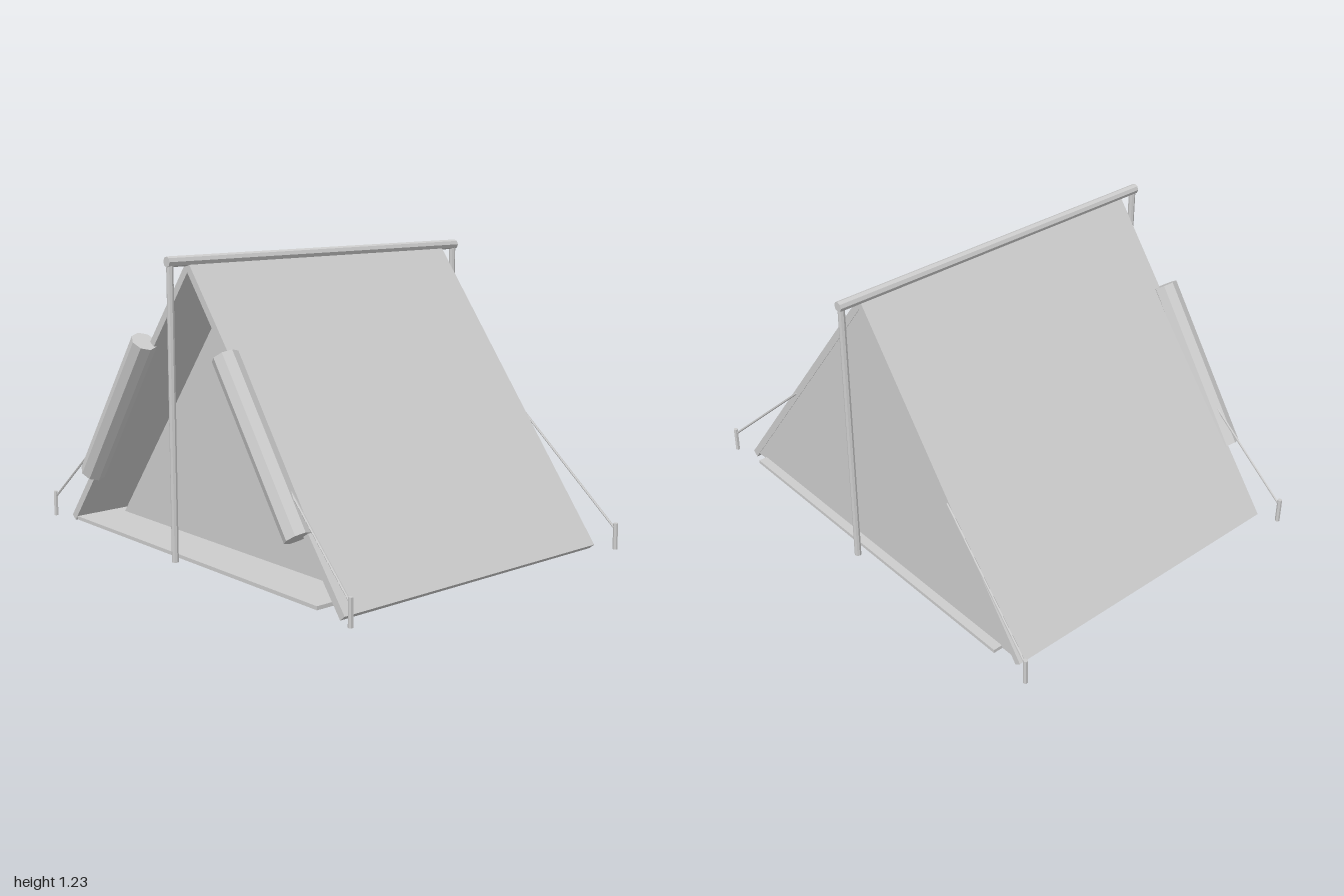
import * as THREE from 'three';

const canvas = new THREE.MeshStandardMaterial({ color: 0xcccccc, flatShading: true });
canvas.name = 'plain grey';

function add(group, name, geometry) {
  const mesh = new THREE.Mesh(geometry, canvas);
  mesh.name = name;
  group.add(mesh);
  return mesh;
}

// Faceted rod between two points
function rod(group, name, from, to, radius, sides) {
  const a = new THREE.Vector3(...from);
  const b = new THREE.Vector3(...to);
  const dir = b.clone().sub(a);
  const mesh = add(group, name, new THREE.CylinderGeometry(radius, radius, dir.length(), sides));
  mesh.position.copy(a).add(b).multiplyScalar(0.5);
  mesh.quaternion.setFromUnitVectors(new THREE.Vector3(0, 1, 0), dir.normalize());
  return mesh;
}

// Flat outline in x and y, extruded from z0 to z1
function slab(group, name, points, z0, z1) {
  const shape = new THREE.Shape(points.map(([x, y]) => new THREE.Vector2(x, y)));
  const geometry = new THREE.ExtrudeGeometry(shape, { depth: z1 - z0, bevelEnabled: false });
  geometry.translate(0, 0, z0);
  return add(group, name, geometry);
}

export function createModel() {
  const tent = new THREE.Group();
  tent.name = 'tent';

  // Ground sheet
  add(tent, 'groundSheet', new THREE.BoxGeometry(1.62, 0.015, 1.455)).position.y = 0.0425;

  // Ridge pole and the two uprights
  rod(tent, 'ridgePole', [0, 1.218, -0.785], [0, 1.218, 0.785], 0.021, 8);
  for (const [name, z] of [['frontPole', 0.77], ['backPole', -0.77]]) {
    rod(tent, name, [0, 0.035, z], [0, 1.205, z], 0.014, 8);
  }

  // Closed back wall and recessed inner door
  slab(tent, 'backWall', [[-0.875, 0.04], [0.875, 0.04], [0, 1.19]], -0.688, -0.678);
  slab(tent, 'innerDoor', [[-0.75, 0.05], [0.75, 0.05], [0, 1.04]], 0.51, 0.52);

  for (const s of [1, -1]) {
    const side = s > 0 ? 'left' : 'right';

    // Sloping roof
    slab(tent, side + 'Roof',
      [[0, 1.222], [s * 0.915, 0.03], [s * 0.891, 0.01], [0, 1.173]], -0.69, 0.69);

    // Rolled door flap along the front edge
    rod(tent, side + 'RolledFlap', [s * 0.69, 0.27, 0.715], [s * 0.27, 0.88, 0.715], 0.054, 8);

    // Guy ropes and stakes at both ends
    for (const e of [1, -1]) {
      const end = e > 0 ? 'Front' : 'Back';
      rod(tent, side + end + 'Stake', [s * 0.99, 0.02, e * 0.73], [s * 0.99, 0.13, e * 0.73], 0.01, 6);
      rod(tent, side + end + 'Rope', [s * 0.985, 0.11, e * 0.728], [s * 0.5, 0.55, e * 0.69], 0.005, 5);
    }
  }

  // Lowest roof edge rests on the ground
  tent.children.forEach((part) => { part.position.y -= 0.01; });
  return tent;
}
